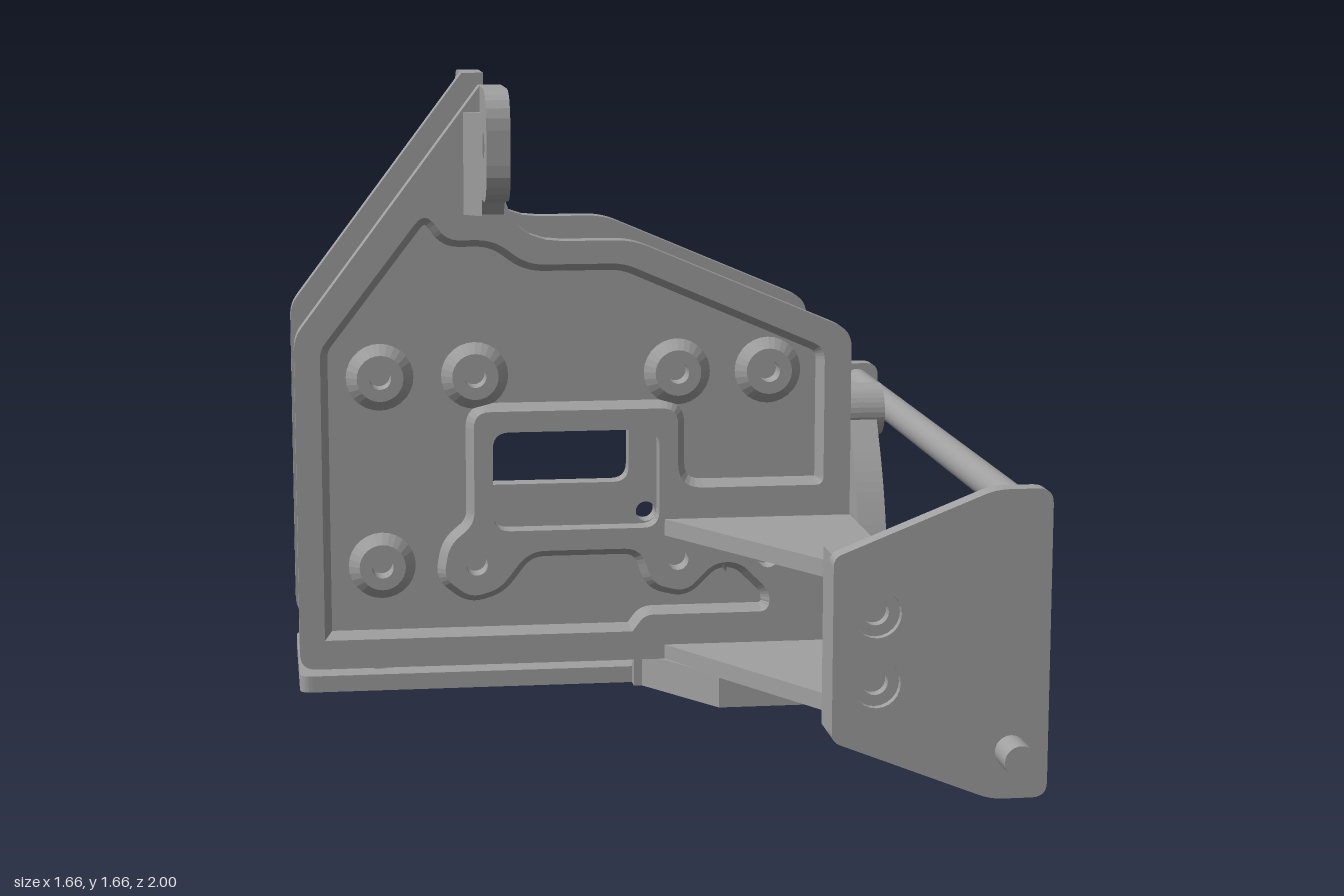
import * as THREE from 'three';

const C = -0.045; // middle plane of the bracket in z

// Shape from points and optional hole point lists
function shapeOf(pts, holes = []) {
  const s = new THREE.Shape(pts.map(p => new THREE.Vector2(p[0], p[1])));
  for (const h of holes) s.holes.push(new THREE.Path(h.map(p => new THREE.Vector2(p[0], p[1]))));
  return s;
}
const circle = (x, y, r, n = 24) => Array.from({ length: n }, (_, i) => {
  const a = i / n * Math.PI * 2;
  return [x + r * Math.cos(a), y + r * Math.sin(a)];
});
// Rounds corners of a polygon; each point is [x, y, radius]
function rounded(pts) {
  const out = [];
  pts.forEach((p, i) => {
    const r = p[2] || 0;
    if (!r) { out.push([p[0], p[1]]); return; }
    const b = new THREE.Vector2(p[0], p[1]);
    const toward = q => new THREE.Vector2(q[0], q[1]).sub(b).setLength(r).add(b);
    const a = toward(pts[(i + pts.length - 1) % pts.length]);
    const c = toward(pts[(i + 1) % pts.length]);
    new THREE.QuadraticBezierCurve(a, b, c).getPoints(6).forEach(v => out.push([v.x, v.y]));
  });
  return out;
}
const extrude = (shape, depth) => new THREE.ExtrudeGeometry(shape, { depth, bevelEnabled: false, curveSegments: 12 });
// Extrusions along z, y (points are x,z) and x (points are z,y)
const alongZ = (pts, z0, z1, holes) => extrude(shapeOf(pts, holes), z1 - z0).translate(0, 0, z0);
const alongY = (pts, y0, y1, holes) => extrude(shapeOf(pts, holes), y1 - y0).rotateX(Math.PI / 2).translate(0, y1, 0);
const flip = pts => pts.map(p => [-p[0], p[1]]);
const alongX = (pts, x0, x1, holes = []) =>
  extrude(shapeOf(flip(pts), holes.map(flip)), x1 - x0).rotateY(Math.PI / 2).translate(x0, 0, 0);

// Reflects a geometry in z and restores the corner order
function mirrorZ(geo) {
  const g = geo.index ? geo.toNonIndexed() : geo.clone();
  g.applyMatrix4(new THREE.Matrix4().makeScale(1, 1, -1));
  for (const a of Object.values(g.attributes)) {
    const n = a.itemSize;
    for (let t = 0; t < a.count; t += 3) for (let k = 0; k < n; k++) {
      const i = (t + 1) * n + k, j = i + n, v = a.array[i];
      a.array[i] = a.array[j];
      a.array[j] = v;
    }
  }
  return g;
}

// Sloping wall running inside a counterclockwise contour
function slopedWall(pts, inset, zTop, zBottom) {
  const n = pts.length, v = [];
  const P = pts.map(p => new THREE.Vector2(p[0], p[1]));
  const low = P.map((p, i) => {
    const d1 = p.clone().sub(P[(i + n - 1) % n]).normalize();
    const d2 = P[(i + 1) % n].clone().sub(p).normalize();
    const m = new THREE.Vector2(-d1.y - d2.y, d1.x + d2.x).normalize();
    const k = Math.max(0.6, m.x * -d1.y + m.y * d1.x);
    return p.clone().addScaledVector(m, inset / k);
  });
  for (let i = 0; i < n; i++) {
    const j = (i + 1) % n;
    const a = [P[i].x, P[i].y, zTop], b = [P[j].x, P[j].y, zTop];
    const c = [low[i].x, low[i].y, zBottom], d = [low[j].x, low[j].y, zBottom];
    v.push(...a, ...b, ...c, ...b, ...d, ...c);
  }
  const g = new THREE.BufferGeometry();
  g.setAttribute('position', new THREE.Float32BufferAttribute(v, 3));
  g.computeVertexNormals();
  return g;
}

export function createModel() {
  const model = new THREE.Group();
  model.name = 'mountingBracket';
  const metal = new THREE.MeshStandardMaterial({ color: 0xa0a0a0 });
  metal.name = 'grey metal';
  const body = new THREE.Group();
  body.name = 'bracketBody';
  body.position.z = C;
  model.add(body);
  const add = (name, geo) => {
    const m = new THREE.Mesh(geo, metal);
    m.name = name;
    body.add(m);
  };
  const pair = (name, geo) => {
    add(name + 'Front', geo);
    add(name + 'Back', mirrorZ(geo));
  };

  // Side plates: thin web with a raised rim around a pocket
  const outline = rounded([[-0.83, 0.275, 0.04], [0.5, 0.275], [0.5, 1.07, 0.04], [-0.03, 1.295, 0.04],
    [-0.335, 1.295, 0.14], [-0.335, 1.66], [-0.39, 1.66], [-0.83, 1.075, 0.03]]);
  const windowHole = rounded([[-0.365, 0.6, 0.04], [0.035, 0.6, 0.04], [0.035, 0.84, 0.04], [-0.365, 0.84, 0.04]]);
  const pocket = rounded([[-0.77, 0.345], [-0.77, 1.045, 0.02], [-0.52, 1.37, 0.04], [-0.47, 1.3, 0.03],
    [-0.36, 1.3, 0.04], [-0.28, 1.24, 0.04], [-0.05, 1.24, 0.03], [0.435, 1.03, 0.03], [0.435, 0.695, 0.02],
    [0.08, 0.695, 0.06], [0.08, 0.89, 0.04], [-0.41, 0.89, 0.04], [-0.41, 0.62, 0.03], [-0.47, 0.57, 0.03],
    [-0.485, 0.49, 0.03], [-0.42, 0.44, 0.03], [-0.35, 0.46, 0.03], [-0.28, 0.55, 0.04], [-0.01, 0.55, 0.04],
    [0.02, 0.46, 0.03], [0.1, 0.44, 0.03], [0.17, 0.51, 0.03], [0.23, 0.51, 0.03], [0.31, 0.43, 0.03],
    [0.3, 0.385, 0.02], [0.0, 0.385, 0.02], [-0.03, 0.345]]).reverse();
  const raised = [[-0.63, 0.975], [-0.405, 0.975], [0.08, 0.975], [0.3, 0.975], [-0.63, 0.52]];
  const flush = [[-0.405, 0.52], [0.08, 0.52], [0.3, 0.52]];
  const bore = p => circle(p[0], p[1], 0.026);
  pair('sidePlate', alongZ(outline, 0.265, 0.295, [windowHole, ...raised.map(bore), ...flush.map(bore)]));
  pair('sidePlateRim', alongZ(outline, 0.295, 0.32, [windowHole, pocket, ...flush.map(bore)]));
  pair('pocketWall', slopedWall(pocket, 0.018, 0.32, 0.295));

  // Conical screw bosses
  const bossProfile = [[0.08, 0], [0.055, 0.027], [0.026, 0.027], [0.026, -0.03]].map(p => new THREE.Vector2(...p));
  for (const [x, y] of raised) {
    pair('screwBoss', new THREE.LatheGeometry(bossProfile, 28).toNonIndexed().rotateX(Math.PI / 2).translate(x, y, 0.295));
  }
  body.children.filter(m => m.name.startsWith('screwBoss')).forEach(m => m.geometry.computeVertexNormals());

  // Upper ears with a hole
  pair('ear', alongX(rounded([[0.3, 1.36], [0.32, 1.36], [0.36, 1.4, 0.02], [0.515, 1.4, 0.09],
    [0.515, 1.66, 0.09], [0.3, 1.66]]), -0.39, -0.335, [circle(0.425, 1.53, 0.03)]));
  pair('earFillet', alongY([[-0.43, 0.319], [-0.389, 0.319], [-0.389, 0.36]], 1.36, 1.6));

  // Base plate, thicker wings and sloping joints
  const baseHoles = [-0.63, 0.3].flatMap(x => [-0.15, 0.15].map(z => circle(x, z, 0.026)));
  add('basePlate', alongY(rounded([[-0.83, -0.23, 0.03], [0.5, -0.23], [0.5, 0.23], [-0.83, 0.23, 0.03]]),
    0.195, 0.235, baseHoles));
  pair('baseWing', alongY([[0, 0.265], [0.155, 0.49], [0.5, 0.49], [0.5, 0.265]], 0.195, 0.275));
  pair('baseJoint', alongX([[0.225, 0.195], [0.265, 0.195], [0.265, 0.275], [0.225, 0.235]], -0.02, 0.5));

  // Channel arms: two flanges and an upright web
  const flange = [[0.03, 0.29], [0.37, 0.86], [0.5, 0.86], [0.5, 0.29]];
  pair('armUpperFlange', alongY(flange, 0.58, 0.62));
  pair('armLowerFlange', alongY(flange, 0.27, 0.31));
  pair('armWeb', alongX([[0.27, 0.272], [0.86, 0.272], [0.86, 0.618], [0.27, 0.618]], 0.46, 0.499));

  // End plates with counterbored holes
  const endOutline = rounded([[0.335, 0.235, 0.02], [0.7, 0.09, 0.03], [0.83, 0.09, 0.035],
    [0.83, 0.8, 0.035], [0.7, 0.8, 0.03], [0.335, 0.655, 0.02]]);
  const endHoles = r => [0.525, 0.365].map(y => circle(0.435, y, r));
  pair('endPlateInner', alongZ(endOutline, 0.905, 0.935, endHoles(0.03)));
  pair('endPlateOuter', alongZ(endOutline, 0.935, 0.955, endHoles(0.055)));

  // Tapered frame joining each arm to its end plate
  const taper = [[0.34, 0.906], [0.34, 0.81], [0.5, 0.81], [0.73, 0.88], [0.73, 0.906]];
  pair('endGussetUpper', alongY(taper, 0.61, 0.652));
  pair('endGussetLower', alongY(taper, 0.238, 0.28));
  pair('endBlock', alongY([[0.34, 0.906], [0.34, 0.81], [0.5, 0.81], [0.56, 0.906]], 0.28, 0.61));

  // Long cross rods
  const rod = (name, x, y, z0, z1) => add(name, new THREE.CylinderGeometry(0.037, 0.037, z1 - z0, 28)
    .rotateX(Math.PI / 2).translate(x, y, (z0 + z1) / 2 - C));
  rod('upperRod', 0.77, 0.747, -0.955, 0.87);
  rod('lowerRod', 0.745, 0.2, -0.885, 1.0);

  // Pivot plate: a half outline repeated by a half turn
  const half = [[0.05, 0.055], [0.05, 0.245, 0.06], [0.14, 0.2, 0.06], [0.205, 0.07, 0.06],
    [0.205, -0.06, 0.06], [0.15, -0.22, 0.08], [0.062, -0.36]];
  half[0] = [0.045, -0.3 + 0.63];
  const turned = half.map(p => [-p[0], -p[1], p[2]]);
  // Half runs down one flank; its mirror across the middle gives the other
  const right = half.map(p => [-p[0], p[1], p[2]]);
  const left = right.map(p => [-p[0], -p[1], p[2]]);
  const hubY = 0.447;
  const hub = rounded([...right, ...left].map(p => [p[0], p[1] + hubY, p[2]]));
  const ring = r => Array.from({ length: 8 }, (_, i) => {
    const a = i * Math.PI / 4;
    return circle(0.15 * Math.cos(a), hubY + 0.15 * Math.sin(a), r, 18);
  });
  const centreHole = circle(0, hubY, 0.075, 32);
  add('pivotPlate', alongX(hub, 0.55, 0.6, [centreHole, ...ring(0.022)]));
  add('pivotPlateFace', alongX(hub, 0.6, 0.62, [centreHole, ...ring(0.04)]));
  for (const s of [-1, 1]) {
    const y = hubY + s * 0.378;
    add('pivotEye', alongX(circle(0, y, 0.065, 32), 0.547, 0.64, [circle(0, y, 0.043)]));
  }
  return model;
}
